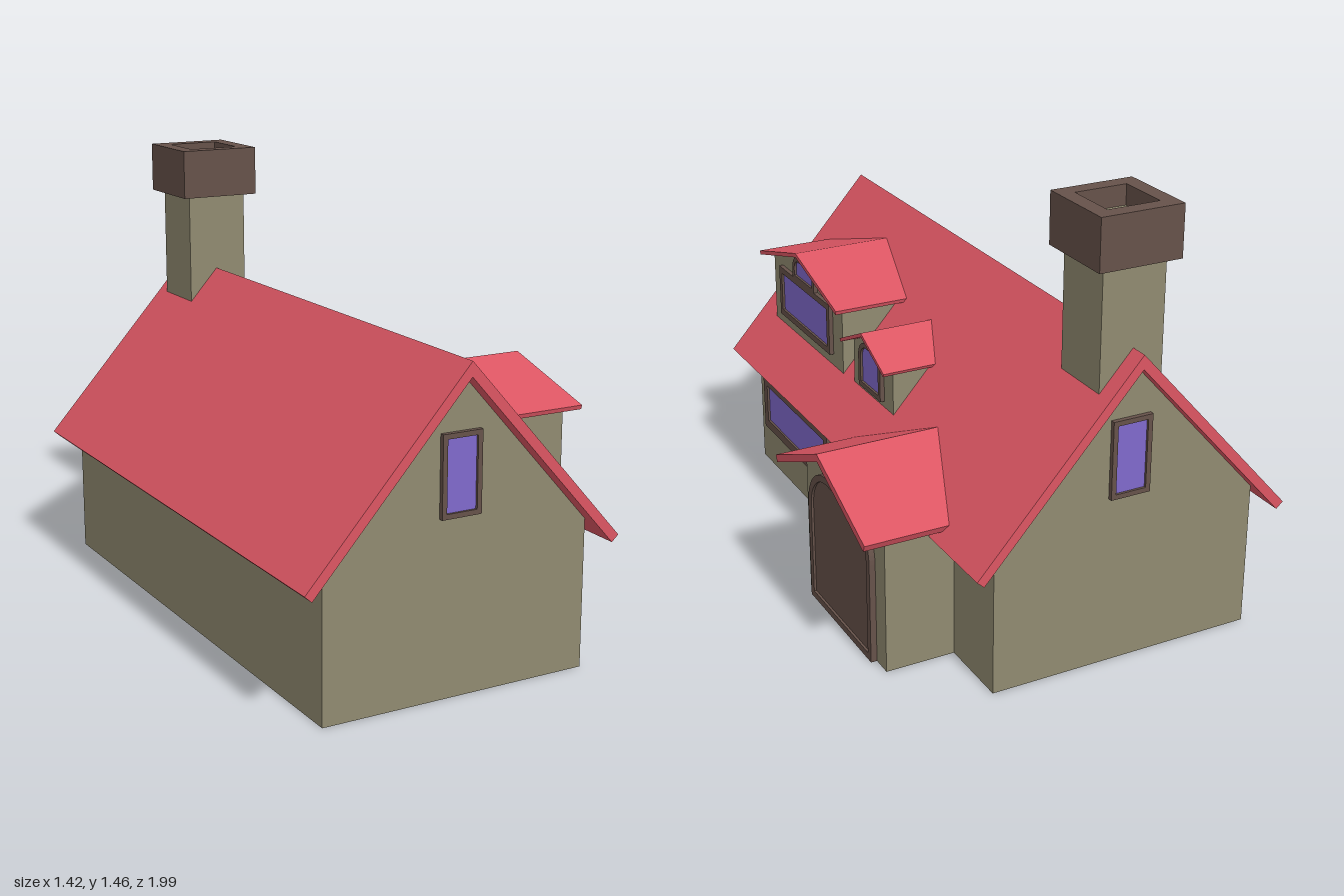
import * as THREE from 'three';

const mat = (color) => new THREE.MeshStandardMaterial({ color, flatShading: true });
const RED = mat(0xdc5663), WALL = mat(0x908a70), BROWN = mat(0x66524a), GLASS = mat(0x8069cc), GOLD = mat(0xc8a21c);
const ROOF_SLOPE = 1.117;

function add(parent, name, geometry, material) {
  const mesh = new THREE.Mesh(geometry, material);
  mesh.name = name;
  parent.add(mesh);
  return mesh;
}

const extrude = (shape, depth) =>
  new THREE.ExtrudeGeometry(shape, { depth, bevelEnabled: false, curveSegments: 8 });

const polygon = (points) => new THREE.Shape(points.map(([x, y]) => new THREE.Vector2(x, y)));

// Solid wall block with a gable top, running along z
function gableBody(half, base, peak, slope, from, to) {
  const eave = peak - slope * half;
  return extrude(polygon([[-half, base], [half, base], [half, eave], [0, peak], [-half, eave]]), to - from)
    .translate(0, 0, from);
}

// Folded roof slab with square-cut eaves, running along z
function gableRoof(half, ridge, slope, t, from, to) {
  const len = Math.hypot(1, slope), eave = ridge - slope * half;
  const ux = half - t * slope / len, uy = eave - t / len;
  return extrude(polygon([
    [0, ridge], [-half, eave], [-ux, uy], [0, ridge - t * len], [ux, uy], [half, eave],
  ]), to - from).translate(0, 0, from);
}

// Panel outline with rounded upper corners
function archPath(Type, w, y0, y1, r) {
  const p = new Type(), h = w / 2;
  p.moveTo(-h, y0).lineTo(h, y0);
  if (r > 0) {
    p.lineTo(h, y1 - r).absarc(h - r, y1 - r, r, 0, Math.PI / 2, false);
    p.lineTo(r - h, y1).absarc(r - h, y1 - r, r, Math.PI / 2, Math.PI, false);
  } else {
    p.lineTo(h, y1).lineTo(-h, y1);
  }
  p.lineTo(-h, y0);
  return p;
}

// Raised frame around a slightly recessed pane, facing +z
function framedPanel(parent, name, { w, y0, y1, border, r = 0, depth = 0.015, pane = GLASS }) {
  const group = new THREE.Group();
  group.name = name;
  const inner = [w - 2 * border, y0 + border, y1 - border, Math.max(0, r - border)];
  const frame = archPath(THREE.Shape, w, y0, y1, r);
  frame.holes.push(archPath(THREE.Path, ...inner));
  add(group, name + 'Frame', extrude(frame, depth + 0.02).translate(0, 0, -0.02), BROWN);
  add(group, name + 'Pane', extrude(archPath(THREE.Shape, ...inner), depth + 0.012).translate(0, 0, -0.02), pane);
  parent.add(group);
  return group;
}

// Gabled wing or dormer facing the house's left side (+x)
function gabledBay(house, name, { z, half, base, peak, front, roofHalf, ridge, slope, t, roofFront }) {
  const bay = new THREE.Group();
  bay.name = name;
  bay.rotation.y = Math.PI / 2;
  bay.position.z = z;
  const start = (1.03 - ridge) / ROOF_SLOPE;
  add(bay, name + 'Walls', gableBody(half, base, peak, slope, start + 0.03, front), WALL);
  add(bay, name + 'Roof', gableRoof(roofHalf, ridge, slope, t, start, roofFront), RED);
  house.add(bay);
  return bay;
}

export function createModel() {
  const model = new THREE.Group();
  model.name = 'house';
  const house = new THREE.Group();
  house.name = 'houseBody';
  house.position.x = -0.11;
  house.rotation.y = -0.0675;
  model.add(house);

  // Main house
  add(house, 'mainWalls', gableBody(0.452, 0, 0.985, ROOF_SLOPE, -0.907, 0.907), WALL);
  add(house, 'mainRoof', gableRoof(0.537, 1.03, ROOF_SLOPE, 0.031, -0.963, 0.963), RED);

  // Attic window on each gable end
  for (const side of [1, -1]) {
    const w = framedPanel(house, side > 0 ? 'frontWindow' : 'backWindow', { w: 0.135, y0: 0.56, y1: 0.815, border: 0.016 });
    w.position.z = side * 0.907;
    if (side < 0) w.rotation.y = Math.PI;
  }

  // Long ground-floor window and entrance door
  const longWindow = framedPanel(house, 'longWindow', { w: 0.58, y0: 0.15, y1: 0.355, border: 0.032 });
  longWindow.position.set(0.452, 0, 0.555);
  longWindow.rotation.y = Math.PI / 2;
  const door = framedPanel(house, 'entranceDoor', { w: 0.217, y0: 0, y1: 0.36, border: 0.015, depth: 0.022, pane: BROWN });
  door.position.set(0.452, 0, 0.06);
  door.rotation.y = Math.PI / 2;
  add(door, 'doorKnob', new THREE.SphereGeometry(0.012, 10, 8), GOLD).position.set(-0.098, 0.185, 0.036);
  add(door, 'knobPlate', new THREE.BoxGeometry(0.018, 0.03, 0.006), GOLD).position.set(-0.098, 0.185, 0.024);

  // Garage wing
  const garage = gabledBay(house, 'garage', {
    z: -0.366, half: 0.29, base: 0, peak: 0.604, front: 0.683,
    roofHalf: 0.338, ridge: 0.63, slope: 0.444, t: 0.024, roofFront: 0.769,
  });
  framedPanel(garage, 'garageDoor', { w: 0.46, y0: 0, y1: 0.49, border: 0.023, r: 0.15, depth: 0.02, pane: BROWN })
    .position.set(-0.008, 0, 0.683);

  // Large dormer with a wide window and a small arched one
  const large = gabledBay(house, 'largeDormer', {
    z: 0.548, half: 0.297, base: 0.58, peak: 0.91, front: 0.403,
    roofHalf: 0.338, ridge: 0.925, slope: 0.287, t: 0.014, roofFront: 0.443,
  });
  framedPanel(large, 'wideWindow', { w: 0.436, y0: 0.622, y1: 0.805, border: 0.022 }).position.z = 0.403;
  framedPanel(large, 'archedWindow', { w: 0.185, y0: 0.8, y1: 0.89, border: 0.016, r: 0.05 }).position.z = 0.403;

  // Small dormer
  const small = gabledBay(house, 'smallDormer', {
    z: 0.016, half: 0.15, base: 0.584, peak: 0.808, front: 0.4,
    roofHalf: 0.17, ridge: 0.822, slope: 0.47, t: 0.012, roofFront: 0.442,
  });
  framedPanel(small, 'dormerWindow', { w: 0.167, y0: 0.605, y1: 0.77, border: 0.017, r: 0.06 }).position.z = 0.4;

  // Chimney stack with a hollow cap
  const chimney = new THREE.Group();
  chimney.name = 'chimney';
  chimney.position.set(0.005, 0, -0.797);
  house.add(chimney);
  add(chimney, 'chimneyStack', new THREE.BoxGeometry(0.212, 0.52, 0.212).translate(0, 1.06, 0), WALL);
  add(chimney, 'flueFloor', new THREE.BoxGeometry(0.18, 0.08, 0.18).translate(0, 1.35, 0), WALL);
  const square = (h) => [[-h, -h], [h, -h], [h, h], [-h, h]];
  const cap = polygon(square(0.138));
  cap.holes.push(polygon(square(0.087)));
  add(chimney, 'chimneyCap', extrude(cap, 0.165).rotateX(-Math.PI / 2).translate(0, 1.29, 0), BROWN);

  return model;
}
